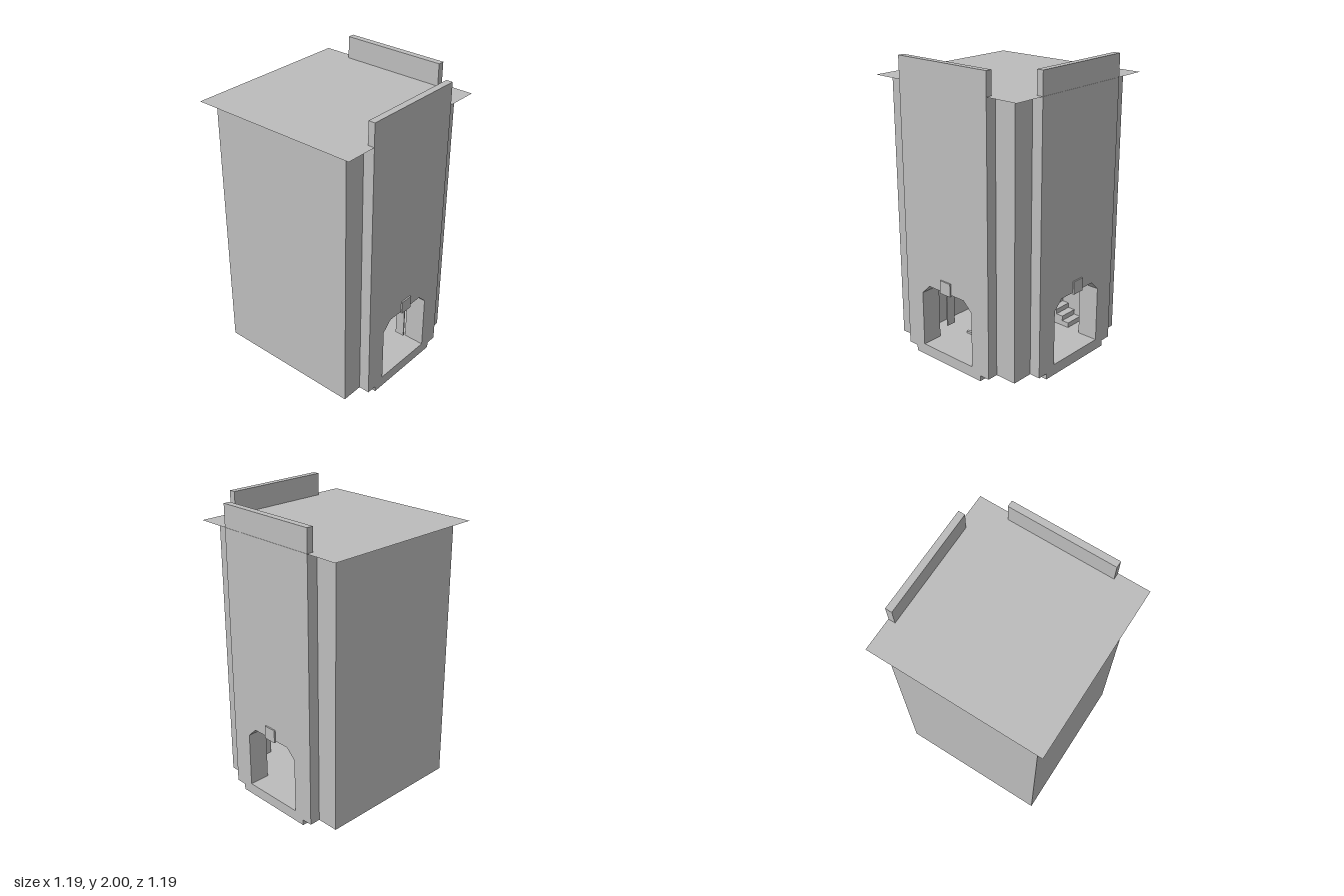
import * as THREE from 'three';

export function createModel() {
  const model = new THREE.Group();
  model.name = 'tower';
  const stone = new THREE.MeshStandardMaterial({ color: 0xbcbcbc });
  stone.name = 'grey stone';
  const sheet = new THREE.MeshStandardMaterial({ color: 0xbcbcbc, side: THREE.DoubleSide });
  sheet.name = 'grey roof sheet';

  // Box given by its minimum and maximum on each axis
  function box(name, [x0, x1], [y0, y1], [z0, z1], parent = model) {
    const mesh = new THREE.Mesh(new THREE.BoxGeometry(x1 - x0, y1 - y0, z1 - z0), stone);
    mesh.position.set((x0 + x1) / 2, (y0 + y1) / 2, (z0 + z1) / 2);
    mesh.name = name;
    parent.add(mesh);
    return mesh;
  }

  const FOOT = 0.04, FLOOR = 0.075, TOP = 1.85;

  // Foundation, floor and the plain walls
  box('foundation', [-0.45, 0.43], [0, FOOT], [-0.43, 0.45]);
  box('floor', [-0.375, 0.44], [FOOT, FLOOR], [-0.44, 0.375]);
  box('frontWall', [-0.525, 0.51], [FOOT, TOP], [0.375, 0.525]);
  box('leftWall', [-0.525, -0.375], [FOOT, TOP], [-0.51, 0.375]);
  box('cornerPost', [0.36, 0.51], [FOOT, TOP], [-0.51, -0.36]);

  // Projecting wall with a chamfered doorway, facing +x before it is turned
  function doorWall(name) {
    const g = new THREE.Group();
    g.name = name;
    const half = 0.3675;
    const outline = new THREE.Shape([
      [-half, FOOT], [half, FOOT], [half, TOP], [-half, TOP],
    ].map(([x, y]) => new THREE.Vector2(x, y)));
    outline.holes.push(new THREE.Path([
      [-0.2225, FLOOR], [-0.2225, 0.455], [-0.155, 0.52],
      [0.155, 0.52], [0.2225, 0.455], [0.2225, FLOOR],
    ].map(([x, y]) => new THREE.Vector2(x, y))));
    const geo = new THREE.ExtrudeGeometry(outline, { depth: 0.145, bevelEnabled: false });
    geo.rotateY(Math.PI / 2).translate(0.44, 0, 0);
    const wall = new THREE.Mesh(geo, stone);
    wall.name = 'archedWall';
    g.add(wall);
    box('parapet', [0.54, 0.585], [TOP, 2], [-half, half], g);
    box('threshold', [0.43, 0.585], [0, FOOT], [-0.295, 0.295], g);
    box('keystone', [0.58, 0.595], [0.51, 0.6], [-0.045, 0.045], g);
    model.add(g);
    return g;
  }
  doorWall('rightDoorWall').position.z = 0.0075;
  const back = doorWall('backDoorWall');
  back.rotation.y = Math.PI / 2;
  back.position.x = -0.0075;

  // Thin overhanging roof sheet
  const roof = new THREE.Mesh(new THREE.PlaneGeometry(1.183, 1.18), sheet);
  roof.rotation.x = -Math.PI / 2;
  roof.position.set(-0.0065, TOP, 0.003);
  roof.name = 'roof';
  model.add(roof);

  // Staircase along the left wall, rising towards the front
  for (let i = 0; i < 13; i++) {
    const z = -0.34 + i * 0.0525;
    box('stairStep', [-0.375, -0.24], [FLOOR, 0.11 + i * 0.035], [z, z + 0.0525]);
  }
  box('stairLedge', [-0.3, -0.235], [0.32, 0.37], [-0.145, -0.04]);
  box('wallPost', [-0.375, -0.35], [0.3, 0.6], [-0.04, 0.05]);

  // Sign plate hanging in the right doorway
  box('hangingPlate', [0.52, 0.583], [0.29, 0.52], [0.002, 0.011]);

  // Small handle pieces on the floor
  for (const [z0, z1] of [[0.085, 0.13], [0.04, 0.065], [0.005, 0.03]])
    box('floorHandle', [0.265, 0.285], [FLOOR, 0.09], [z0, z1]);
  box('floorHandleBar', [0.27, 0.28], [0.08, 0.087], [0.005, 0.065]);

  return model;
}
